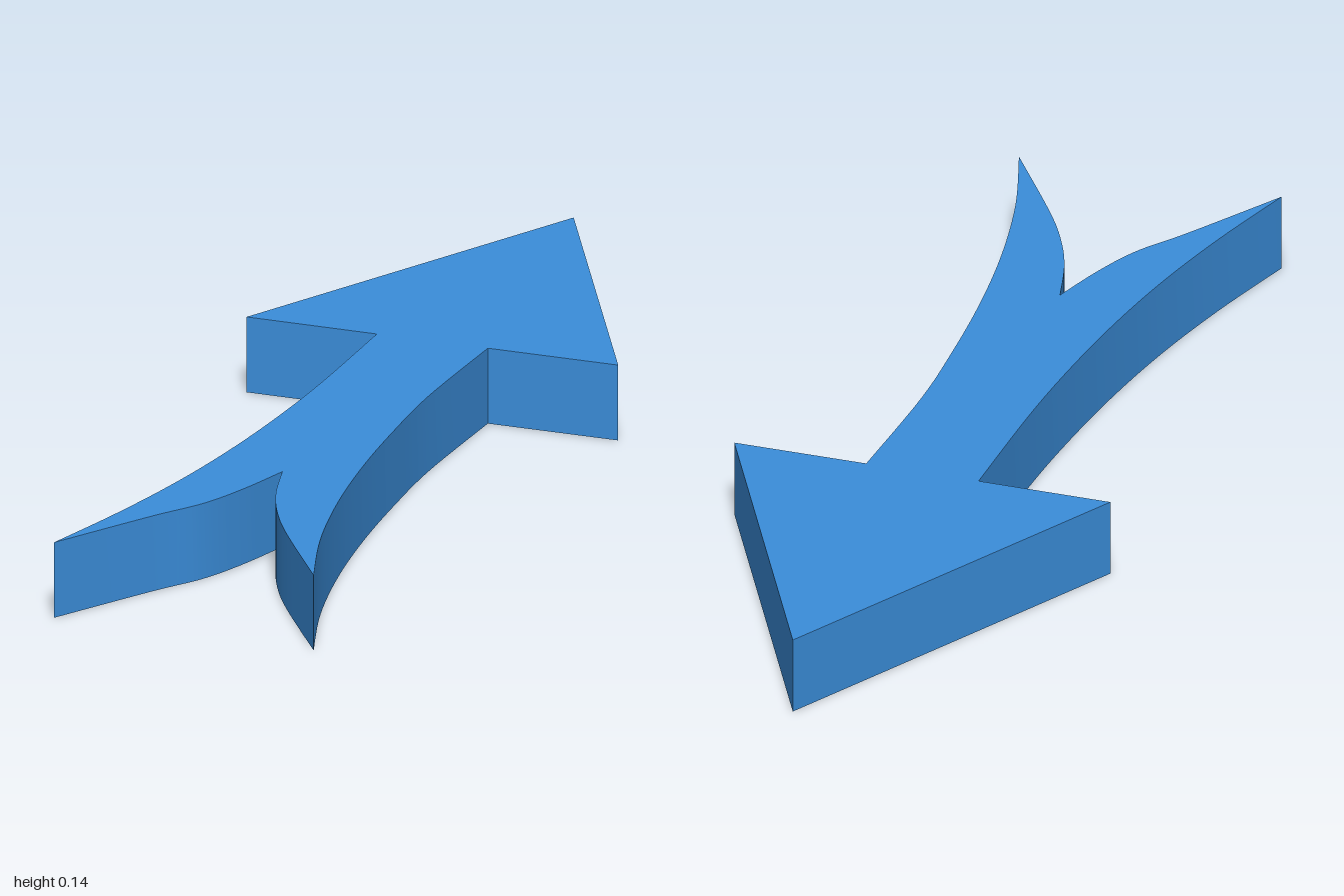
import * as THREE from 'three';
import { toCreasedNormals } from 'three/addons/utils/BufferGeometryUtils.js';

const HEIGHT = 0.145;

// Plan points are given as [x, z]; the shape is drawn with y = -z.
const plan = (points) => points.map(([x, z]) => new THREE.Vector2(x, -z));

export function createModel() {
  const group = new THREE.Group();
  group.name = 'arrow';

  const outline = new THREE.Shape();

  // Straight-edged arrowhead, from the left neck corner round to the right one
  outline.moveTo(-0.108, 0.276);
  plan([[-0.362, -0.272], [-0.02, -1], [0.362, -0.286], [0.108, -0.281]])
    .forEach((p) => outline.lineTo(p.x, p.y));

  // Curved shaft, flaring into a forked tail
  outline.splineThru(plan([[0.108, 0], [0.122, 0.2], [0.144, 0.4], [0.177, 0.6], [0.225, 0.8], [0.288, 0.985]]));
  outline.splineThru(plan([[0.16, 0.8], [0.1, 0.7], [0.055, 0.6], [0.02, 0.484]]));
  outline.splineThru(plan([[-0.01, 0.6], [-0.047, 0.7], [-0.107, 0.8], [-0.216, 1]]));
  outline.splineThru(plan([[-0.17, 0.8], [-0.135, 0.6], [-0.113, 0.4], [-0.102, 0.2], [-0.1, 0], [-0.108, -0.276]]));

  // Flat slab with sharp rims and smooth curved walls
  const slab = new THREE.ExtrudeGeometry(outline, { depth: HEIGHT, bevelEnabled: false, curveSegments: 5 });
  slab.rotateX(-Math.PI / 2);

  const arrow = new THREE.Mesh(
    toCreasedNormals(slab, Math.PI / 6),
    new THREE.MeshStandardMaterial({ color: 0x3b8edb })
  );
  arrow.name = 'arrowBody';
  group.add(arrow);
  return group;
}
